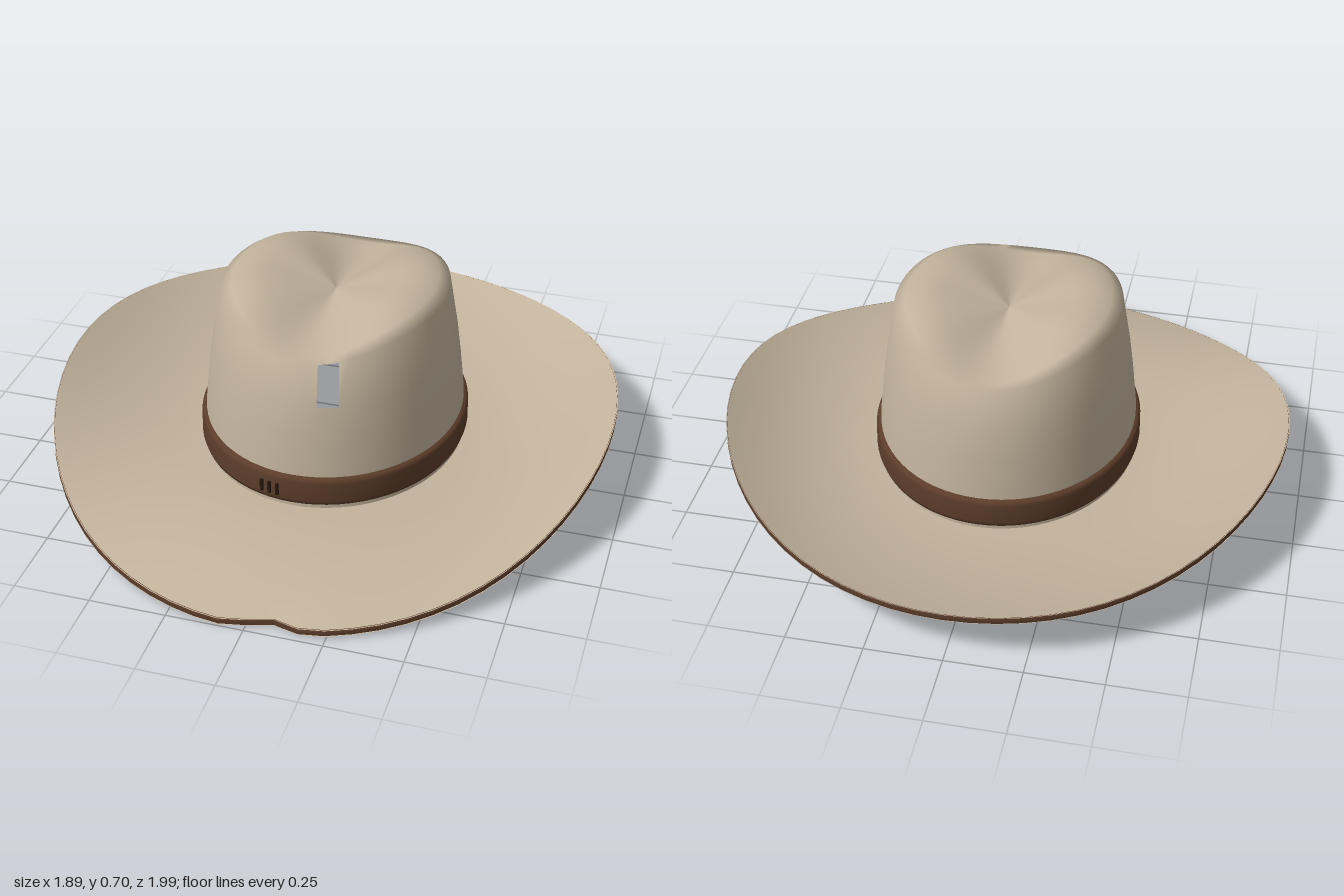
import * as THREE from 'three';

const SEG = 72;

const felt = new THREE.MeshStandardMaterial({ color: 0xc2b39c, side: THREE.DoubleSide });
felt.name = 'felt';
const leather = new THREE.MeshStandardMaterial({ color: 0x5c3d2a, side: THREE.DoubleSide });
leather.name = 'brown leather';
const thread = new THREE.MeshStandardMaterial({ color: 0x24170f });
thread.name = 'dark thread';

// Smooth surface of closed rings: at(row, angle) gives [x, y, z], angle 0 is the front.
function ringSurface(name, material, rows, at, skip = () => false) {
  const pos = [], index = [];
  for (let j = 0; j < rows; j++)
    for (let i = 0; i < SEG; i++) pos.push(...at(j, (i / SEG) * Math.PI * 2));
  for (let j = 0; j < rows - 1; j++)
    for (let i = 0; i < SEG; i++) {
      if (skip(j, i)) continue;
      const a = j * SEG + i, b = j * SEG + ((i + 1) % SEG);
      index.push(a, b, b + SEG, a, b + SEG, a + SEG);
    }
  const geo = new THREE.BufferGeometry();
  geo.setAttribute('position', new THREE.Float32BufferAttribute(pos, 3));
  geo.setIndex(index);
  geo.computeVertexNormals();
  const mesh = new THREE.Mesh(geo, material);
  mesh.name = name;
  return mesh;
}

// Height of the rim: low at the front, curled up at the sides.
const rimHeight = (a) =>
  0.162 - 0.0893 * Math.cos(a) - 0.0795 * Math.cos(2 * a) +
  0.0053 * Math.cos(3 * a) + 0.0135 * Math.cos(4 * a);

// Small nick in the front edge
const nick = (a) => {
  const d = (a > Math.PI ? a - 2 * Math.PI : a) - 0.095;
  return 0.045 * Math.max(0, 1 - Math.abs(d) / (d < 0 ? 0.19 : 0.1));
};

// Brim point: t runs from the opening (0) to the rim (1).
function brimPoint(t, a, lift) {
  const y = 0.1 + (rimHeight(a) - 0.1) * Math.pow(t, 2);
  return [
    (0.435 + 0.51 * t) * Math.sin(a),
    y + lift,
    (0.5 + 0.5 * t) * Math.cos(a) - nick(a) * Math.pow(Math.min(t, 1), 6),
  ];
}

// Crown profile rows: [side radius, side height, front radius, front height]
const crownRows = [
  [0.435, 0.09, 0.5, 0.09],
  [0.432, 0.17, 0.498, 0.17],
  [0.428, 0.26, 0.49, 0.26],
  [0.416, 0.37, 0.48, 0.37],
  [0.402, 0.48, 0.464, 0.47],
  [0.372, 0.663, 0.428, 0.602],
  [0.335, 0.69, 0.39, 0.604],
  [0.28, 0.706, 0.325, 0.603],
  [0.22, 0.7, 0.255, 0.606],
  [0.15, 0.681, 0.175, 0.613],
  [0.07, 0.656, 0.085, 0.624],
  [0, 0.635, 0, 0.635],
];

function crownPoint(j, a) {
  const [rx, sideY, rz, frontY] = crownRows[j];
  const pinch = Math.pow(Math.cos(a), 4);
  return [rx * Math.sin(a), sideY + (frontY - sideY) * pinch, rz * Math.cos(a)];
}

// Hat band profile: [offset outward, height]
const bandRows = [[-0.004, 0.128], [0.01, 0.13], [0.015, 0.145], [0.014, 0.21], [0.008, 0.224], [-0.008, 0.226]];

export function createModel() {
  const hat = new THREE.Group();
  hat.name = 'hat';

  // Brim: underside, upper side and brown bound edge
  const N = 14, T = 0.011;
  const brim = new THREE.Group();
  brim.name = 'brim';
  brim.add(
    ringSurface('brimUnderside', felt, N + 1, (j, a) => brimPoint(j / N, a, -T)),
    ringSurface('brimTop', felt, N + 1, (j, a) => brimPoint(1 - j / N, a, T)),
    ringSurface('brimBinding', leather, 4, (j, a) =>
      brimPoint(j === 0 || j === 3 ? 0.993 : 1, a, [-T - 0.001, -T * 0.7, T * 0.7, T + 0.001][j])),
  );
  hat.add(brim);

  // Crown with pinched top and a small rectangular cut-out near the front
  hat.add(ringSurface('crown', felt, crownRows.length, crownPoint,
    (j, i) => j === 4 && (i === 2 || i === 3)));

  // Leather band around the crown
  hat.add(ringSurface('hatBand', leather, bandRows.length, (j, a) => {
    const [out, y] = bandRows[j];
    return [(0.431 + out) * Math.sin(a), y, (0.499 + out) * Math.cos(a)];
  }));

  // Three stitches on the band
  for (const x of [-0.1, -0.073, -0.046]) {
    const stitch = new THREE.Mesh(new THREE.BoxGeometry(0.01, 0.042, 0.012), thread);
    stitch.name = 'bandStitch';
    const a = Math.asin(x / 0.446);
    stitch.position.set(x, 0.175, 0.515 * Math.cos(a));
    stitch.rotation.y = a;
    hat.add(stitch);
  }
  return hat;
}
